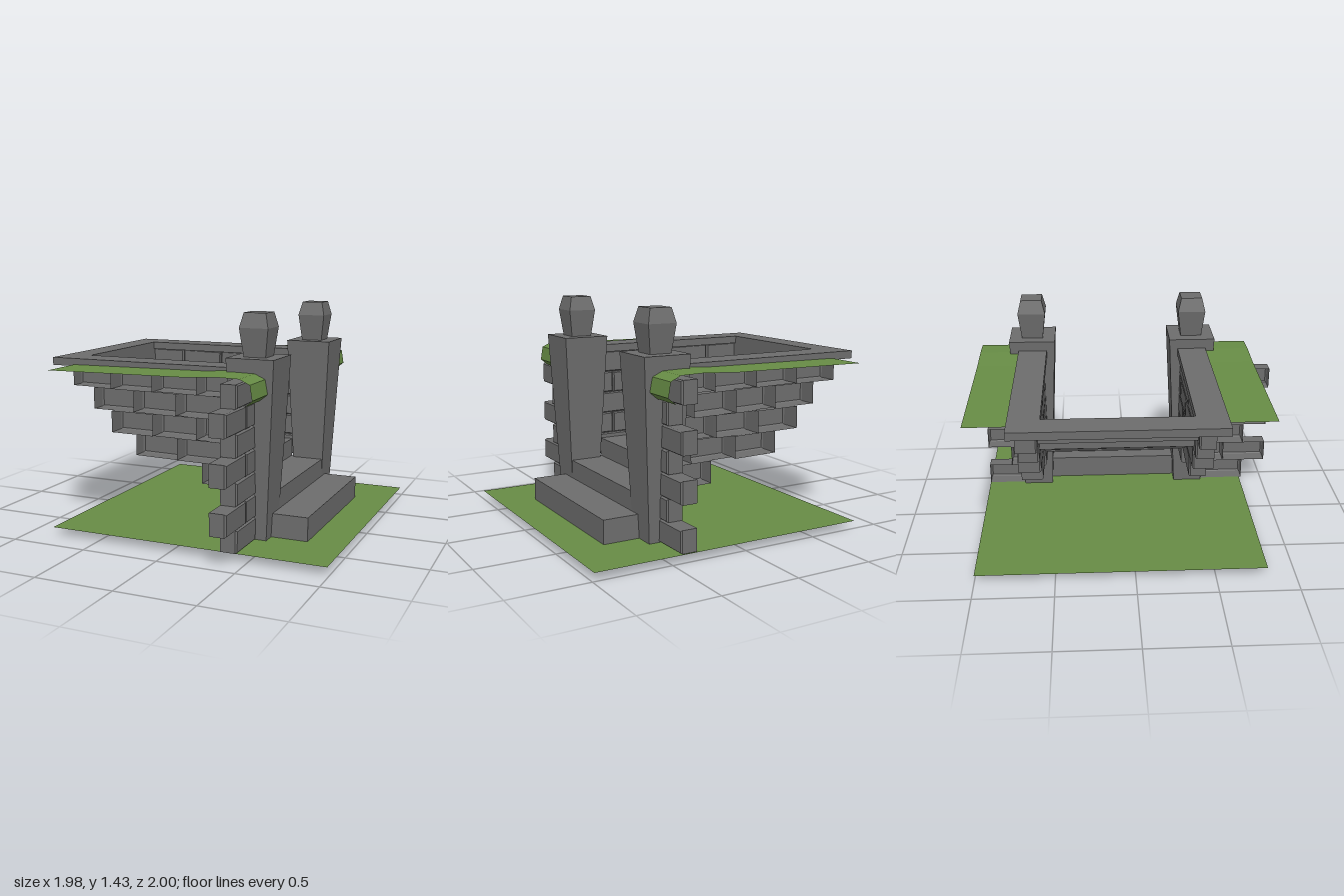
import * as THREE from 'three';

const stone = new THREE.MeshStandardMaterial({ color: 0x6d6d6d, flatShading: true, side: THREE.DoubleSide });
const grass = new THREE.MeshStandardMaterial({ color: 0x678c45, flatShading: true, side: THREE.DoubleSide });

// Rectangular rings [halfX, y, halfZ] joined upwards; top closed, bottom open
function loft(rings) {
  const pos = [];
  const corners = ([a, y, b]) => [[-a, y, b], [a, y, b], [a, y, -b], [-a, y, -b]];
  const quad = (a, b, c, d) => pos.push(...a, ...b, ...c, ...a, ...c, ...d);
  for (let i = 0; i < rings.length - 1; i++) {
    const lo = corners(rings[i]), hi = corners(rings[i + 1]);
    for (let k = 0; k < 4; k++) {
      const n = (k + 1) % 4;
      quad(lo[k], lo[n], hi[n], hi[k]);
    }
  }
  quad(...corners(rings[rings.length - 1]));
  const g = new THREE.BufferGeometry();
  g.setAttribute('position', new THREE.Float32BufferAttribute(pos, 3));
  g.computeVertexNormals();
  return g;
}

// Ribbon: a path of [x, y] points swept straight from z0 to z1
function ribbon(path, z0, z1) {
  const g = new THREE.PlaneGeometry(1, 1, path.length - 1, 1);
  const p = g.attributes.position;
  for (let i = 0; i < p.count; i++) {
    const [x, y] = path[i % path.length];
    p.setXYZ(i, x, y, i < path.length ? z0 : z1);
  }
  g.computeVertexNormals();
  return g;
}

let seed = 7;
const wobble = (amount) => {
  seed = (seed * 16807) % 2147483647;
  return (seed / 2147483647 - 0.5) * amount;
};

export function createModel() {
  const root = new THREE.Group();
  const add = (name, geometry, material, parent = root) => {
    const mesh = new THREE.Mesh(geometry, material);
    mesh.name = name;
    parent.add(mesh);
    return mesh;
  };

  // Ground, facing up
  add('ground', new THREE.PlaneGeometry(1.82, 1.825).rotateX(-Math.PI / 2).translate(0.078, 0.05, -0.0875), grass);

  // Raised turf beside the stairs, curling over the wing walls (swept so that it faces up)
  const turf = [[-0.83, 1.06], [0.08, 1.07], [0.3, 1.083], [0.45, 1.08], [0.515, 1.05], [0.53, 0.96], [0.48, 0.92]];
  add('leftTurf', ribbon(turf, 0.5, 0.825), grass);
  add('rightTurf', ribbon(turf, -1, -0.71), grass);

  // Bottom step, then the open flight of treads and risers
  add('bottomStep', loft([[0.165, 0.042, 0.535], [0.165, 0.2, 0.535]]).translate(0.583, 0, -0.085), stone);
  const noses = [0.52, 0.285, 0.045, -0.18, -0.41, -0.65, -0.82];
  const flight = [];
  noses.forEach((x, i) => flight.unshift([x, i < 6 ? 0.324 + i * 0.124 : 1.05], [x, 0.2 + i * 0.124]));
  add('stairFlight', ribbon(flight, -0.57, 0.36), stone);

  // U-shaped coping around the stairwell
  const u = [[-0.99, 0.74], [0.42, 0.74], [0.42, 0.55], [-0.82, 0.55],
    [-0.82, -0.34], [0.42, -0.34], [0.42, -0.53], [-0.99, -0.53]];
  const shape = new THREE.Shape(u.map(([x, y]) => new THREE.Vector2(x, y)));
  add('coping', new THREE.ExtrudeGeometry(shape, { depth: 0.05, bevelEnabled: false })
    .rotateX(-Math.PI / 2).translate(0, 1.05, 0), stone);

  // Gate pillars with finials
  [['leftPillar', 0.437], ['rightPillar', -0.647]].forEach(([name, z]) => {
    const pillar = new THREE.Group();
    pillar.name = name;
    pillar.position.set(0.417, 0, z);
    add('shaft', loft([[0.092, 0, 0.096], [0.152, 1.165, 0.153]]), stone, pillar);
    add('finial', loft([[0.07, 1.165, 0.07], [0.092, 1.34, 0.092], [0.07, 1.43, 0.07]]), stone, pillar);
    root.add(pillar);
  });

  // Open-backed brick with a chamfered face at y = 0; a and b are half sizes
  const brick = (a, b, depth) => loft([[a, -depth, b], [a, -0.01, b], [a - 0.007, 0, b - 0.007]]);
  const rowY = (row) => 0.123 + row * 0.143;
  const H = 0.07, LENGTH = 0.303, GAP = 0.005;

  // Stairwell walls: each course starts further forward towards the bottom
  const courseStart = { 2: 0.045, 3: -0.415, 4: -0.58, 5: -0.72, 6: -0.88 };
  for (const side of [1, -1]) {
    const wall = new THREE.Group();
    wall.name = side > 0 ? 'leftWall' : 'rightWall';
    root.add(wall);
    for (const row in courseStart) {
      for (let x = courseStart[row]; x < 0.3; x += LENGTH) {
        const end = Math.min(x + LENGTH - GAP, 0.36);
        const shell = brick((end - x) / 2, H, 0.12 + wobble(0.05)).rotateX(-side * Math.PI / 2);
        const m = add('wallBrick', shell, stone, wall);
        m.position.set((x + end) / 2, rowY(+row), side > 0 ? 0.36 : -0.57);
        m.rotation.z = -0.012 + wobble(0.02);
      }
    }
  }

  // Wing walls running outwards behind the pillars, with toothed ends
  for (const side of [1, -1]) {
    const wing = new THREE.Group();
    wing.name = side > 0 ? 'leftWing' : 'rightWing';
    root.add(wing);
    const inner = side > 0 ? 0.45 : 0.66;
    for (let row = 0; row < 7; row++) {
      const long = (row % 2 === 1) === (side > 0);
      for (let z = long ? 0.998 : 0.838; z > inner + 0.05; z -= LENGTH) {
        const end = Math.max(z - LENGTH + GAP, inner);
        const m = add('wingBrick', brick(H, (z - end) / 2, 0.105).rotateZ(-Math.PI / 2), stone, wing);
        m.position.set(0.445, rowY(row), side * (z + end) / 2);
        m.rotation.x = wobble(0.03);
      }
    }
  }
  return root;
}
